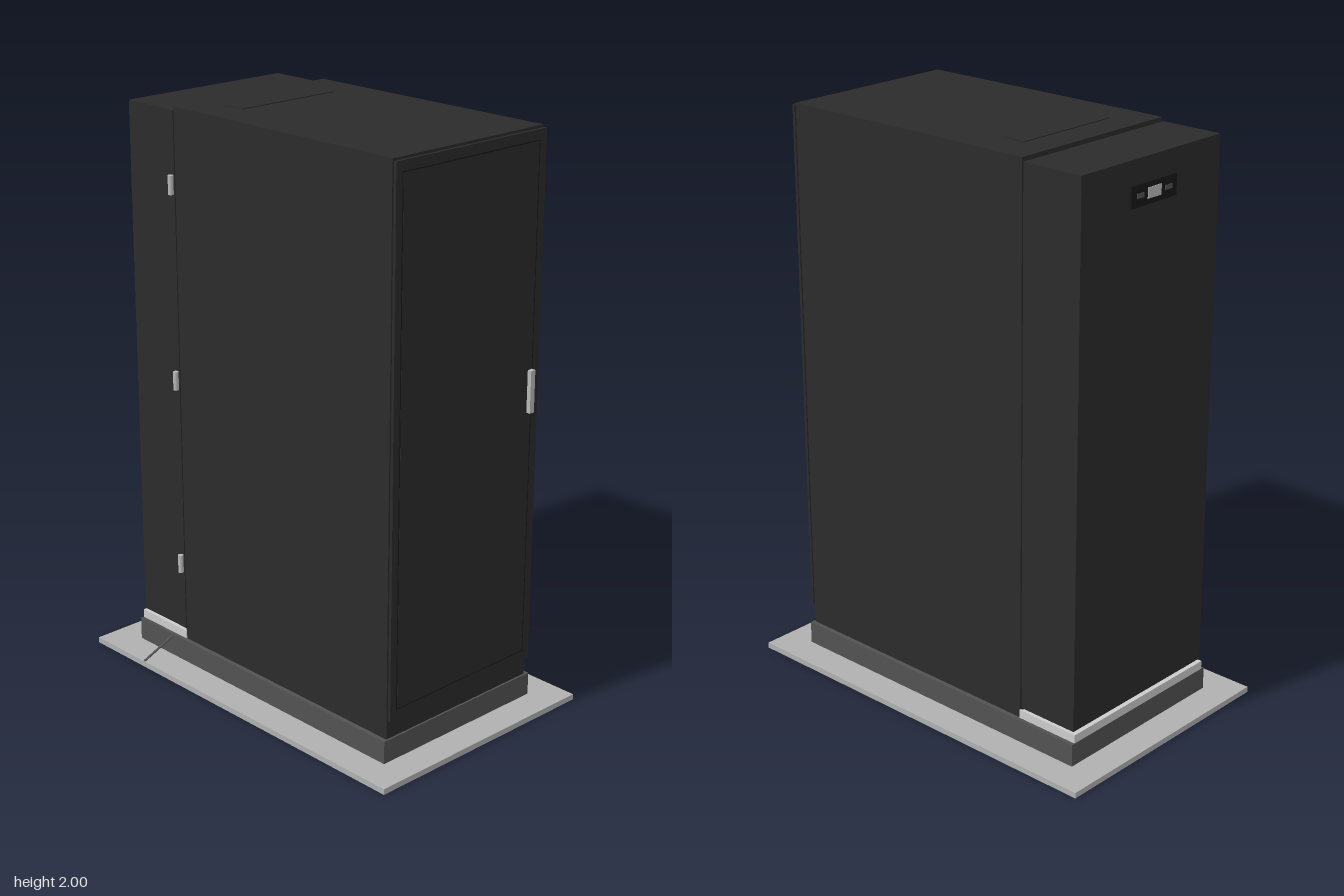
import * as THREE from 'three';

const mat = (name, color) => {
  const m = new THREE.MeshStandardMaterial({ color });
  m.name = name;
  return m;
};

export function createModel() {
  const black = mat('cabinet black', 0x2b2b2b);
  const dark = mat('trim black', 0x171717);
  const grey = mat('plinth grey', 0x525252);
  const floorGrey = mat('floor plate grey', 0xb0b0b0);
  const metal = mat('light metal', 0xb8b8b8);
  const pale = mat('pale sill', 0xcccccc);

  const root = new THREE.Group();
  root.name = 'cabinet';

  const add = (name, geo, m, parent = root) => {
    const mesh = new THREE.Mesh(geo, m);
    mesh.name = name;
    parent.add(mesh);
    return mesh;
  };
  // Box given by its limits on each axis
  const box = (name, m, x0, x1, y0, y1, z0, z1, parent) => {
    const mesh = add(name, new THREE.BoxGeometry(x1 - x0, y1 - y0, z1 - z0), m, parent);
    mesh.position.set((x0 + x1) / 2, (y0 + y1) / 2, (z0 + z1) / 2);
    return mesh;
  };

  // Base
  box('floorPlate', floorGrey, -0.456, 0.456, 0, 0.02, -0.73, 0.73);
  box('plinth', grey, -0.346, 0.346, 0.02, 0.1, -0.62, 0.62);
  box('rearSill', pale, -0.333, 0.333, 0.1, 0.13, -0.619, -0.38);

  // Body with a raised hatch on top
  box('body', black, -0.33, 0.33, 0.1, 1.997, -0.38, 0.613);
  box('topHatch', black, -0.2, 0.2, 1.997, 2, -0.27, -0.19);

  // Rear section, hung clear of the sill, with a dark joint to the body
  box('rearJoint', dark, -0.326, 0.326, 0.13, 1.98, -0.387, -0.379);
  box('rearSection', black, -0.33, 0.33, 0.138, 1.984, -0.611, -0.385);
  box('rearSectionFoot', dark, -0.3, 0.3, 0.129, 0.139, -0.44, -0.425);

  // Front door: spacer, leaf and a thin groove around the panel
  const door = new THREE.Group();
  door.name = 'frontDoor';
  root.add(door);
  box('doorSeal', dark, -0.322, 0.322, 0.178, 1.982, 0.612, 0.62, door);
  box('doorLeaf', black, -0.33, 0.33, 0.17, 1.99, 0.619, 0.629, door);
  box('doorGroove', dark, -0.304, 0.3, 0.203, 1.957, 0.628, 0.6295, door);
  box('doorPanel', black, -0.3, 0.296, 0.207, 1.953, 0.628, 0.6302, door);
  box('doorHandle', metal, 0.277, 0.297, 1.065, 1.21, 0.628, 0.645, door);

  // Hinges on one side, at the joint
  for (const y of [0.388, 1.062, 1.738]) {
    add('hinge', new THREE.CylinderGeometry(0.0095, 0.0095, 0.065, 16), metal)
      .position.set(-0.34, y, -0.392);
  }

  // Control panel on the back
  const panel = new THREE.Group();
  panel.name = 'controlPanel';
  root.add(panel);
  box('panelPlate', dark, -0.108, 0.108, 1.835, 1.905, -0.619, -0.61, panel);
  box('display', metal, -0.032, 0.032, 1.853, 1.888, -0.621, -0.618, panel);
  for (const s of [-1, 1]) {
    box('panelButton', grey, s * 0.067 - 0.017, s * 0.067 + 0.017, 1.863, 1.878, -0.621, -0.618, panel);
  }

  // Cable running from the plinth to the floor
  const path = new THREE.LineCurve3(
    new THREE.Vector3(-0.335, 0.095, -0.445),
    new THREE.Vector3(-0.455, 0.02, -0.47));
  add('cable', new THREE.TubeGeometry(path, 1, 0.004, 8), grey);

  return root;
}
